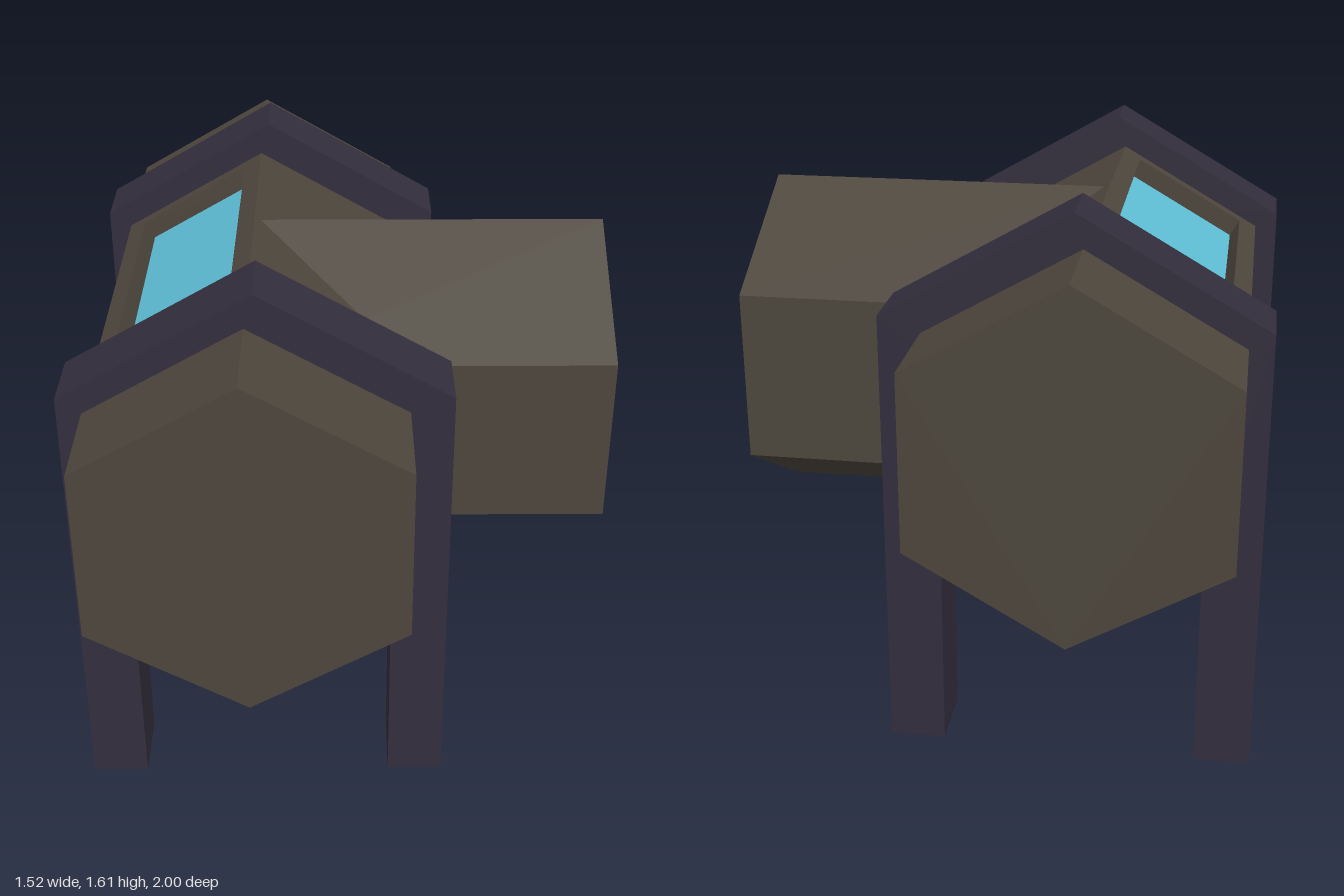
import * as THREE from 'three';

const material = (color) => new THREE.MeshStandardMaterial({ color, flatShading: true });

function addMesh(parent, name, geometry, mat) {
  const mesh = new THREE.Mesh(geometry, mat);
  mesh.name = name;
  parent.add(mesh);
  return mesh;
}

// Closed polygon from corner pairs
const polygon = (points) => new THREE.Shape(points.map(([x, y]) => new THREE.Vector2(x, y)));

// Centred rectangle outline
const rectangle = (w, h) => [[-w / 2, -h / 2], [w / 2, -h / 2], [w / 2, h / 2], [-w / 2, h / 2]];

// Hexagon with a corner pointing up
const hexagon = (r) => Array.from({ length: 6 }, (_, i) => {
  const a = Math.PI / 6 + i * Math.PI / 3;
  return [r * Math.cos(a), r * Math.sin(a)];
});

const extrude = (shape, depth) => new THREE.ExtrudeGeometry(shape, { depth, bevelEnabled: false });

export function createModel() {
  const model = new THREE.Group();
  model.name = 'hexagonalTank';
  const hullMat = material(0x4d463d);
  const frameMat = material(0x332e3d);
  const glassMat = material(0x5fbfd6);

  // Main hull: six thick panels, two of them with a recessed window
  const radius = 0.5, apothem = radius * Math.cos(Math.PI / 6), thickness = 0.06;
  const windowLength = 0.9, windowHeight = 0.38;
  const hull = new THREE.Group();
  hull.name = 'mainHull';
  hull.position.set(-0.26, 1.01, 0);
  model.add(hull);
  for (let i = 0; i < 6; i++) {
    const side = new THREE.Group();
    side.name = 'hullSide';
    side.rotation.z = i * Math.PI / 3;
    hull.add(side);

    const shape = polygon(rectangle(2, radius));
    const hasWindow = i === 2 || i === 3;
    if (hasWindow) shape.holes.push(polygon(rectangle(windowLength, windowHeight)));
    const panel = extrude(shape, thickness).rotateY(Math.PI / 2);
    panel.translate(apothem - thickness, 0, 0);
    addMesh(side, 'hullPanel', panel, hullMat);

    if (hasWindow) {
      const glass = new THREE.BoxGeometry(0.02, windowHeight, windowLength);
      addMesh(side, 'windowGlass', glass, glassMat).position.x = apothem - thickness - 0.008;
    }
  }

  // Hull end caps
  for (const end of [1, -1]) {
    const cap = addMesh(hull, 'hullEndCap', new THREE.ShapeGeometry(polygon(hexagon(radius))), hullMat);
    cap.position.z = end * 1.0005;
    if (end < 0) cap.rotation.y = Math.PI;
  }

  // Branch tube meeting the hull at a right angle
  const branch = extrude(polygon(hexagon(radius)), 1.01).rotateY(Math.PI / 2);
  addMesh(model, 'branchTube', branch, hullMat).position.set(-0.25, 1, 0);

  // Support frames: hexagonal collar with two legs
  const half = 0.525, legWidth = 0.16, slope = Math.tan(Math.PI / 6);
  const tip = half / Math.cos(Math.PI / 6), inner = half - legWidth;
  const crotch = 1 - tip + inner * slope;
  const frameShape = polygon([
    [-half, 0], [-inner, 0], [-inner, crotch], [0, 1 - tip], [inner, crotch], [inner, 0],
    [half, 0], [half, 1 + tip / 2], [0, 1 + tip], [-half, 1 + tip / 2],
  ]);
  for (const [name, z] of [['frontFrame', 0.5], ['backFrame', -0.7]]) {
    addMesh(model, name, extrude(frameShape, 0.2), frameMat).position.set(-0.235, 0, z);
  }

  return model;
}
